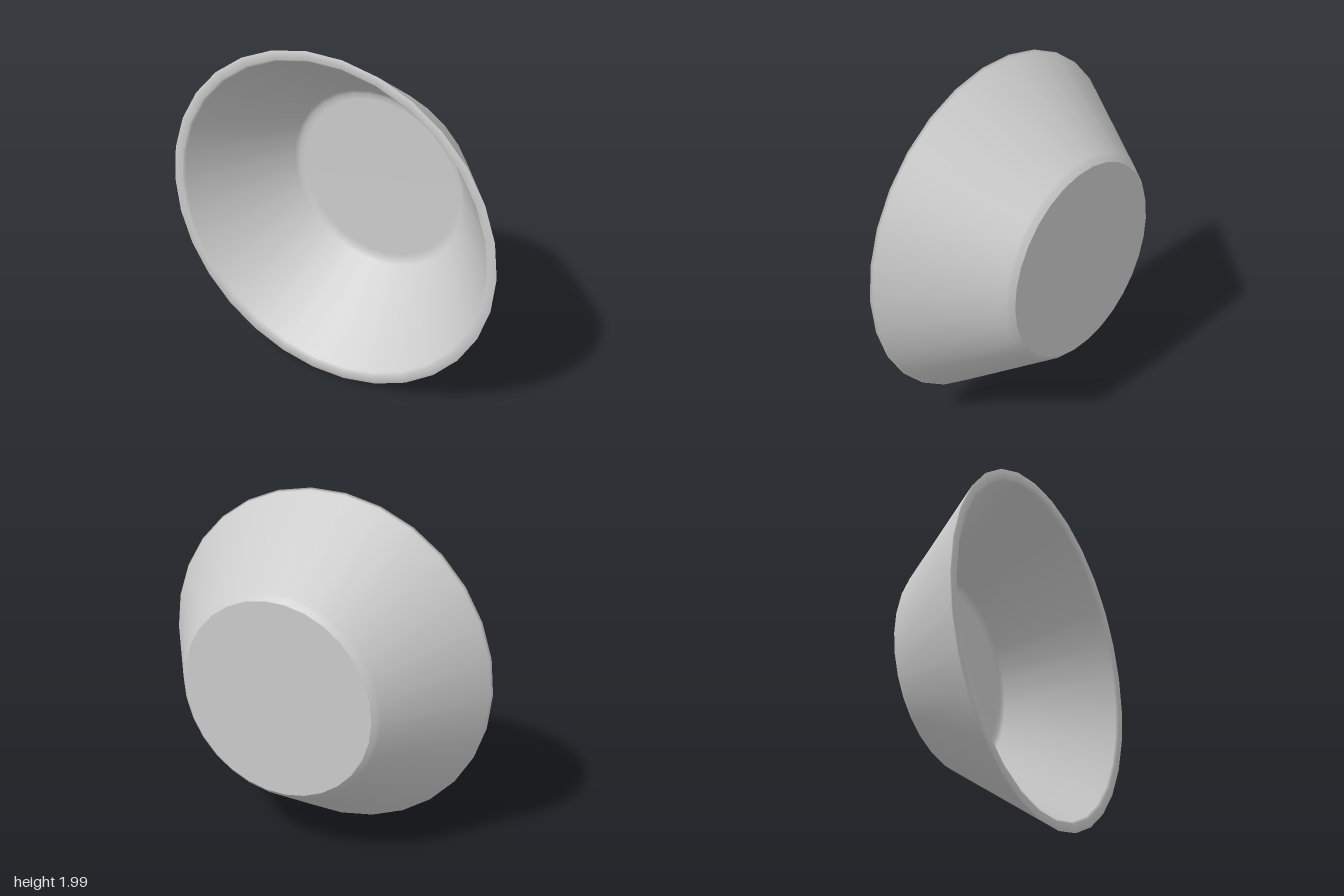
import * as THREE from 'three';

const SIDES = 30;

// Spin [radius, z] points about the z axis, with a corner on +x and -x.
function spin(name, profile, material) {
  const points = profile.map(([r, z]) => new THREE.Vector2(r, z));
  const geometry = new THREE.LatheGeometry(points, SIDES, Math.PI / 2);
  geometry.rotateX(Math.PI / 2);
  const mesh = new THREE.Mesh(geometry, material);
  mesh.name = name;
  return mesh;
}

export function createModel() {
  const material = new THREE.MeshStandardMaterial({ color: 0xcccccc });
  const bowl = new THREE.Group();
  bowl.name = 'bowl';

  // Flat underside, facing the back
  bowl.add(spin('base', [[0, -0.305], [0.565, -0.305]], material));

  // Bevelled foot, sloping outer wall, rim, inner wall and floor in one smooth skin
  bowl.add(spin('shell', [
    [0.565, -0.305],
    [0.588, -0.285],
    [0.6, -0.27],
    [0.99, 0.291],
    [1, 0.305],
    [0.95, 0.305],
    [0.937, 0.291],
    [0.55, -0.252],
    [0.525, -0.268],
    [0.49, -0.272],
    [0, -0.272],
  ], material));

  // Rest the lowest flat side on the ground
  bowl.position.y = Math.cos(Math.PI / SIDES);

  const model = new THREE.Group();
  model.name = 'model';
  model.add(bowl);
  return model;
}
